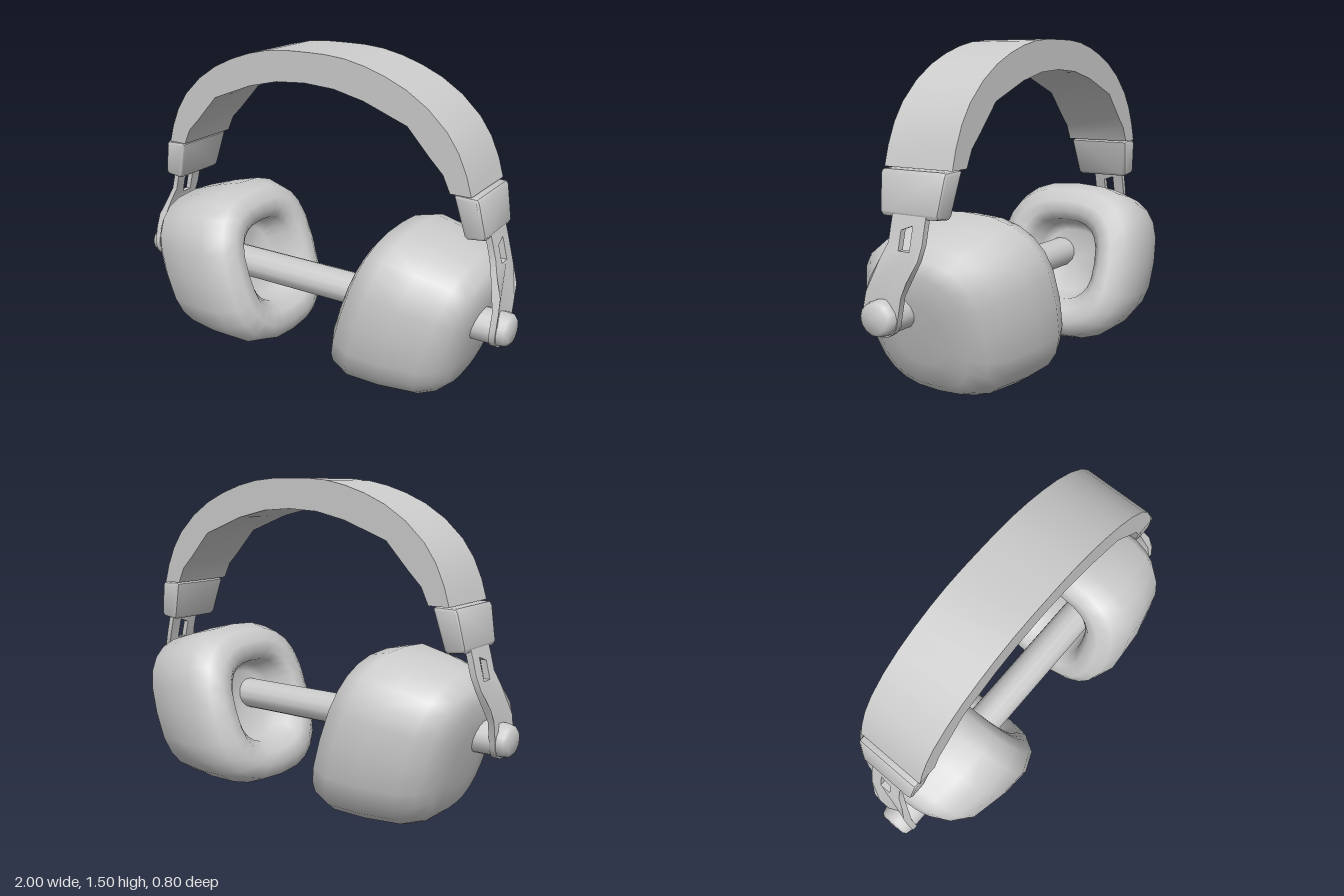
import * as THREE from 'three';
import { toCreasedNormals, mergeVertices } from 'three/addons/utils/BufferGeometryUtils.js';

const material = new THREE.MeshStandardMaterial({ color: 0xcccccc, roughness: 0.8 });

function part(name, geometry) {
  const mesh = new THREE.Mesh(geometry, material);
  mesh.name = name;
  return mesh;
}

const points = (list) => list.map(([x, y]) => new THREE.Vector2(x, y));

// Rounded-square rings stacked along x; each ring is [x, low y, high y, half depth, x lean]
function loftRings(rings, sides) {
  const pos = [], index = [];
  const power = (t) => Math.sign(t) * Math.pow(Math.abs(t), 2 / 2.7);
  for (const [x, low, high, depth, lean = 0] of rings) {
    for (let i = 0; i < sides; i++) {
      const a = (i / sides) * Math.PI * 2;
      const s = power(Math.sin(a));
      pos.push(x + lean * s, (low + high) / 2 + s * (high - low) / 2, power(Math.cos(a)) * depth);
    }
  }
  for (let r = 0; r < rings.length - 1; r++) {
    for (let i = 0; i < sides; i++) {
      const a = r * sides + i, b = r * sides + (i + 1) % sides;
      index.push(a, a + sides, b, b, a + sides, b + sides);
    }
  }
  const g = new THREE.BufferGeometry();
  g.setAttribute('position', new THREE.Float32BufferAttribute(pos, 3));
  g.setIndex(index);
  const merged = mergeVertices(g, 1e-4);
  merged.computeVertexNormals();
  return merged;
}

// Ear cup: recessed cushion, body tapering outward, flat outer face
function earCup() {
  const cup = part('earCup', loftRings([
    [-0.06, -0.04, -0.04, 0],
    [-0.07, -0.2, 0.12, 0.15],
    [-0.11, -0.23, 0.15, 0.18],
    [-0.2, -0.25, 0.16, 0.195],
    [-0.245, -0.31, 0.2, 0.24, 0.01],
    [-0.25, -0.375, 0.25, 0.3, 0.01],
    [-0.215, -0.432, 0.315, 0.36, 0.005],
    [-0.12, -0.44, 0.362, 0.4],
    [0.03, -0.4, 0.368, 0.388],
    [0.19, -0.345, 0.364, 0.35],
    [0.255, -0.3, 0.325, 0.295],
    [0.293, -0.245, 0.275, 0.225],
    [0.303, -0.13, 0.15, 0.12],
    [0.305, 0.01, 0.01, 0]
  ], 24));
  cup.position.set(0.53, 0.39, 0);
  cup.rotation.z = -0.284;
  return cup;
}

// Joint block: tapered, leaning outward towards its foot
function jointBlock() {
  const shape = new THREE.Shape(points([
    [0.728, 0.975], [0.74, 0.983], [0.835, 0.98], [0.845, 0.965],
    [0.874, 0.815], [0.865, 0.797], [0.79, 0.788], [0.775, 0.8]
  ]));
  const g = new THREE.ExtrudeGeometry(shape, {
    depth: 0.29, bevelThickness: 0.018, bevelSize: 0.015, bevelOffset: -0.015, bevelSegments: 2
  });
  g.translate(0, 0, -0.145);
  const p = g.attributes.position;
  for (let i = 0; i < p.count; i++) {
    const t = (p.getY(i) - 0.79) / 0.19;
    p.setZ(i, p.getZ(i) * (0.87 + 0.13 * Math.min(1, t * 1.3)));
  }
  return part('jointBlock', toCreasedNormals(g, 0.7));
}

// Sideways offset of the arm at a given height
const armPath = [[0.3, 0.935], [0.47, 0.943], [0.56, 0.937], [0.67, 0.892], [0.77, 0.867], [0.83, 0.85]];
function armX(y) {
  for (let i = 1; i < armPath.length; i++) {
    const [y0, x0] = armPath[i - 1], [y1, x1] = armPath[i];
    if (y <= y1) return x0 + (x1 - x0) * (y - y0) / (y1 - y0);
  }
  return 0.85;
}

// Arm: flat slotted strap ending in a round eye around the rod
function arm() {
  const outline = [
    [-0.08, 0.82], [-0.08, 0.77], [-0.08, 0.7], [-0.105, 0.64], [-0.135, 0.56], [-0.155, 0.5], [-0.172, 0.43]
  ];
  for (let i = 0; i <= 8; i++) {
    const a = Math.PI + (i / 8) * Math.PI;
    outline.push([-0.085 + 0.09 * Math.cos(a), 0.405 + 0.085 * Math.sin(a)]);
  }
  outline.push([0.025, 0.5], [0.05, 0.56], [0.08, 0.64], [0.088, 0.7], [0.088, 0.77], [0.088, 0.82]);
  const shape = new THREE.Shape(points(outline));
  shape.holes.push(new THREE.Path(points([[-0.025, 0.67], [0.03, 0.67], [0.03, 0.77], [-0.025, 0.75]])));
  const g = new THREE.ExtrudeGeometry(shape, { depth: 0.028, bevelEnabled: false });
  g.rotateY(Math.PI / 2);
  const p = g.attributes.position;
  for (let i = 0; i < p.count; i++) p.setX(i, p.getX(i) - 0.014 + armX(p.getY(i)));
  return part('arm', toCreasedNormals(g, 0.6));
}

// Headband: thick arch, thinner at its ends
function headband() {
  const outer = [[0.81, 0.985], [0.785, 1.07], [0.745, 1.16], [0.69, 1.24], [0.6, 1.325], [0.5, 1.39],
    [0.4, 1.435], [0.3, 1.468], [0.2, 1.49], [0.1, 1.499]];
  const inner = [[0.15, 1.355], [0.3, 1.32], [0.51, 1.24], [0.62, 1.12], [0.68, 1.06], [0.715, 0.985]];
  const mirror = (list) => list.map(([x, y]) => [-x, y]).reverse();
  const shape = new THREE.Shape(points([
    ...outer, [0, 1.5], ...mirror(outer), ...mirror(inner), [0, 1.365], ...inner
  ]));
  const g = new THREE.ExtrudeGeometry(shape, { depth: 0.34, bevelEnabled: false });
  g.translate(0, 0, -0.172);
  return part('headband', toCreasedNormals(g, 0.7));
}

// Rod running through both cups, with softened ends
function rod() {
  const g = new THREE.LatheGeometry(points([
    [0, -1], [0.055, -0.997], [0.068, -0.985], [0.074, -0.96],
    [0.074, 0.96], [0.068, 0.985], [0.055, 0.997], [0, 1]
  ]), 14);
  g.rotateZ(Math.PI / 2);
  g.scale(1, 1, 1.14);
  const mesh = part('rod', toCreasedNormals(g, 0.8));
  mesh.position.set(0, 0.402, 0.083);
  return mesh;
}

export function createModel() {
  const model = new THREE.Group();
  model.name = 'headphones';
  model.add(headband(), rod());
  for (const side of [1, -1]) {
    const half = new THREE.Group();
    half.name = side > 0 ? 'leftSide' : 'rightSide';
    half.add(earCup(), jointBlock(), arm());
    half.scale.x = side;
    model.add(half);
  }
  return model;
}
